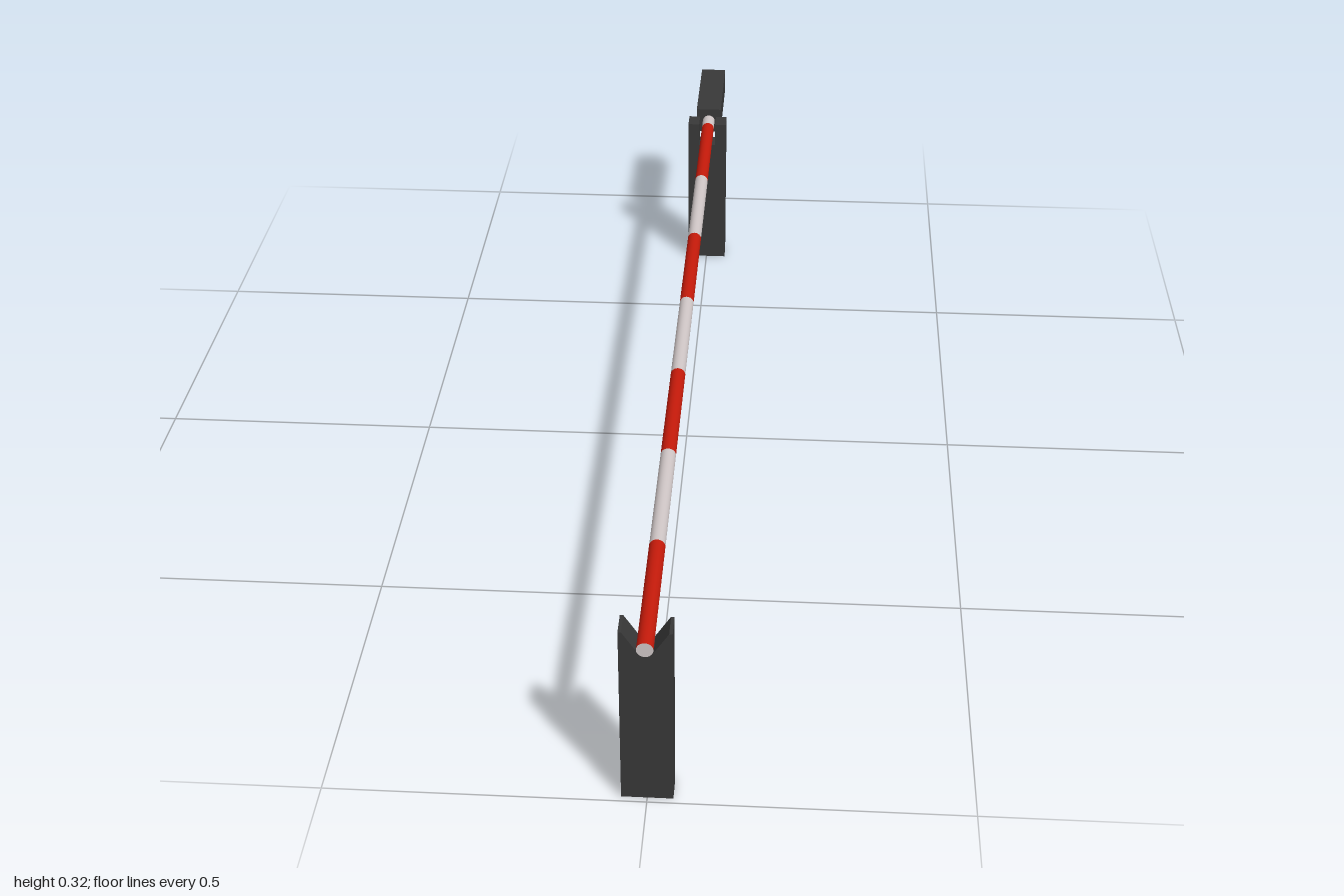
import * as THREE from 'three';

const POLE_Y = 0.297, POLE_R = 0.0128;

export function createModel() {
  const model = new THREE.Group();
  model.name = 'barrierGate';
  const dark = new THREE.MeshStandardMaterial({ color: 0x383838 });
  const red = new THREE.MeshStandardMaterial({ color: 0xc41a0a });
  const white = new THREE.MeshStandardMaterial({ color: 0xcfc6c6 });

  const add = (name, geometry, material, y, z) => {
    const mesh = new THREE.Mesh(geometry, material);
    mesh.name = name;
    mesh.position.set(0, y, z);
    model.add(mesh);
    return mesh;
  };

  // Upright slab with a notch cut into its top edge
  const post = (name, z, topHalf, bottomHalf, notchY) => {
    const w = 0.04, h = 0.32, depth = 0.04;
    const shape = new THREE.Shape([
      [-w, 0], [w, 0], [w, h], [topHalf, h], [bottomHalf, notchY],
      [-bottomHalf, notchY], [-topHalf, h], [-w, h],
    ].map(([x, y]) => new THREE.Vector2(x, y)));
    const geometry = new THREE.ExtrudeGeometry(shape, { depth, bevelEnabled: false });
    geometry.translate(0, 0, -depth / 2);
    add(name, geometry, dark, 0, z);
  };
  post('frontRestPost', 0.97, 0.035, 0.012, 0.284);
  post('rearPivotPost', -0.74, 0.017, 0.017, 0.272);

  // Pole section running along z
  const rod = (name, z0, z1, radius, material, open) => {
    const geometry = new THREE.CylinderGeometry(radius, radius, Math.abs(z0 - z1), 24, 1, open);
    geometry.rotateX(Math.PI / 2);
    add(name, geometry, material, POLE_Y, (z0 + z1) / 2);
  };

  // Alternating red and white stripes
  for (let i = 0; i < 7; i++) {
    const z = 1 - i * 0.25;
    rod('poleStripe' + (i + 1), z, z - 0.25, POLE_R, i % 2 ? white : red, true);
  }
  rod('poleTail', -0.75, -0.8, POLE_R, white, true);

  // Pale disc closing the free end
  add('poleEndCap', new THREE.CircleGeometry(POLE_R, 24), white, POLE_Y, 1);

  // Counterweight behind the pivot
  add('counterweight', new THREE.BoxGeometry(0.052, 0.052, 0.212), dark, 0.298, -0.894);

  return model;
}
